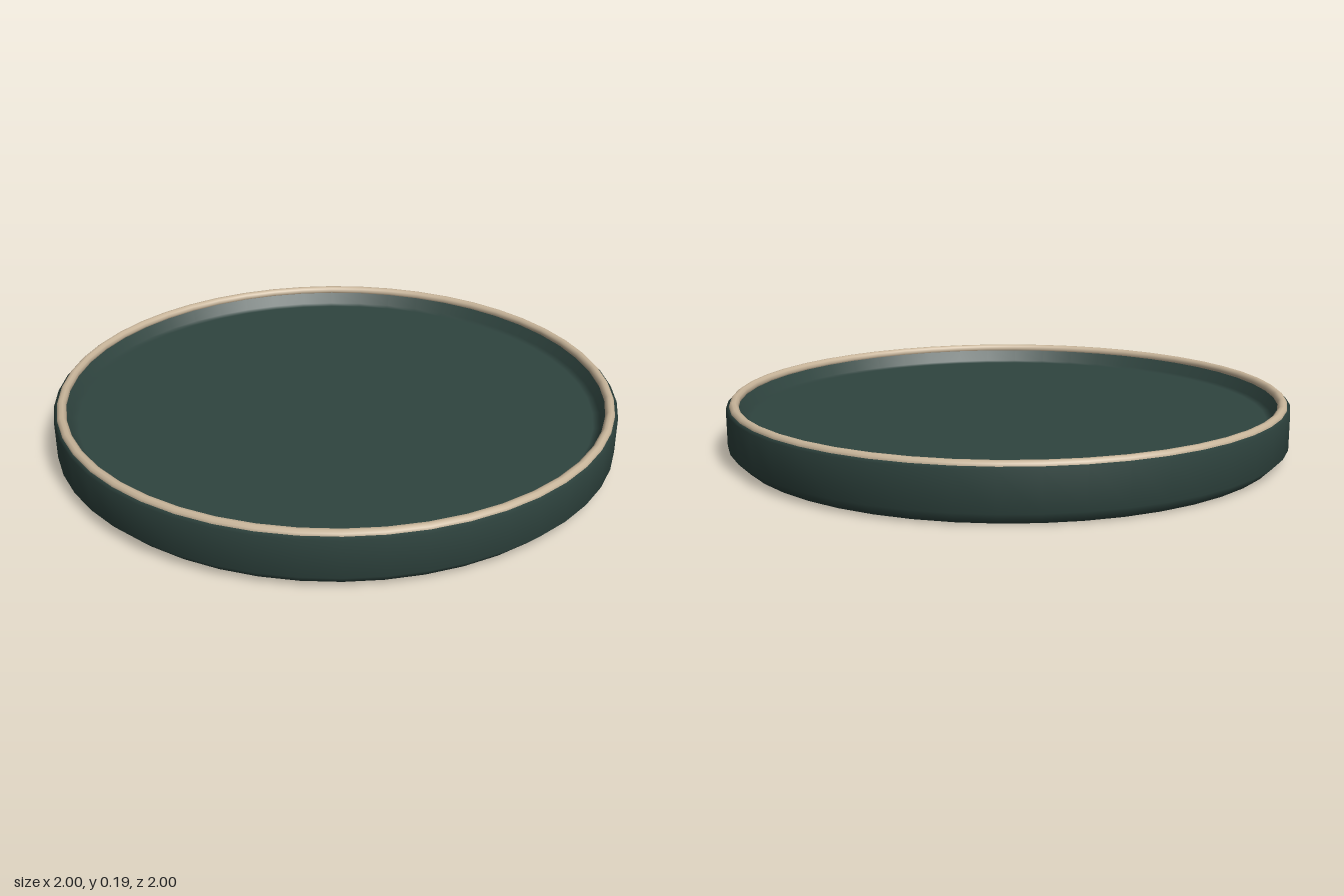
import * as THREE from 'three';

const SIDES = 48;

export function createModel() {
  const group = new THREE.Group();
  group.name = 'tray';

  // Dish: closed base, chamfered foot, upright wall and recessed floor
  const profile = [
    [0, 0], [0.96, 0], [1, 0.04], [1, 0.17], [0.985, 0.18],
    [0.962, 0.18], [0.945, 0.125], [0.92, 0.12], [0, 0.12],
  ].map(([r, y]) => new THREE.Vector2(r, y));
  const dish = new THREE.Mesh(
    new THREE.LatheGeometry(profile, SIDES),
    new THREE.MeshStandardMaterial({ color: 0x2f443f })
  );
  dish.name = 'dish';
  group.add(dish);

  // Pale bead running around the lip
  const rim = new THREE.Mesh(
    new THREE.TorusGeometry(0.973, 0.017, 10, SIDES).rotateX(-Math.PI / 2),
    new THREE.MeshStandardMaterial({ color: 0xc8b59a })
  );
  rim.name = 'rim';
  rim.position.y = 0.175;
  group.add(rim);

  return group;
}
